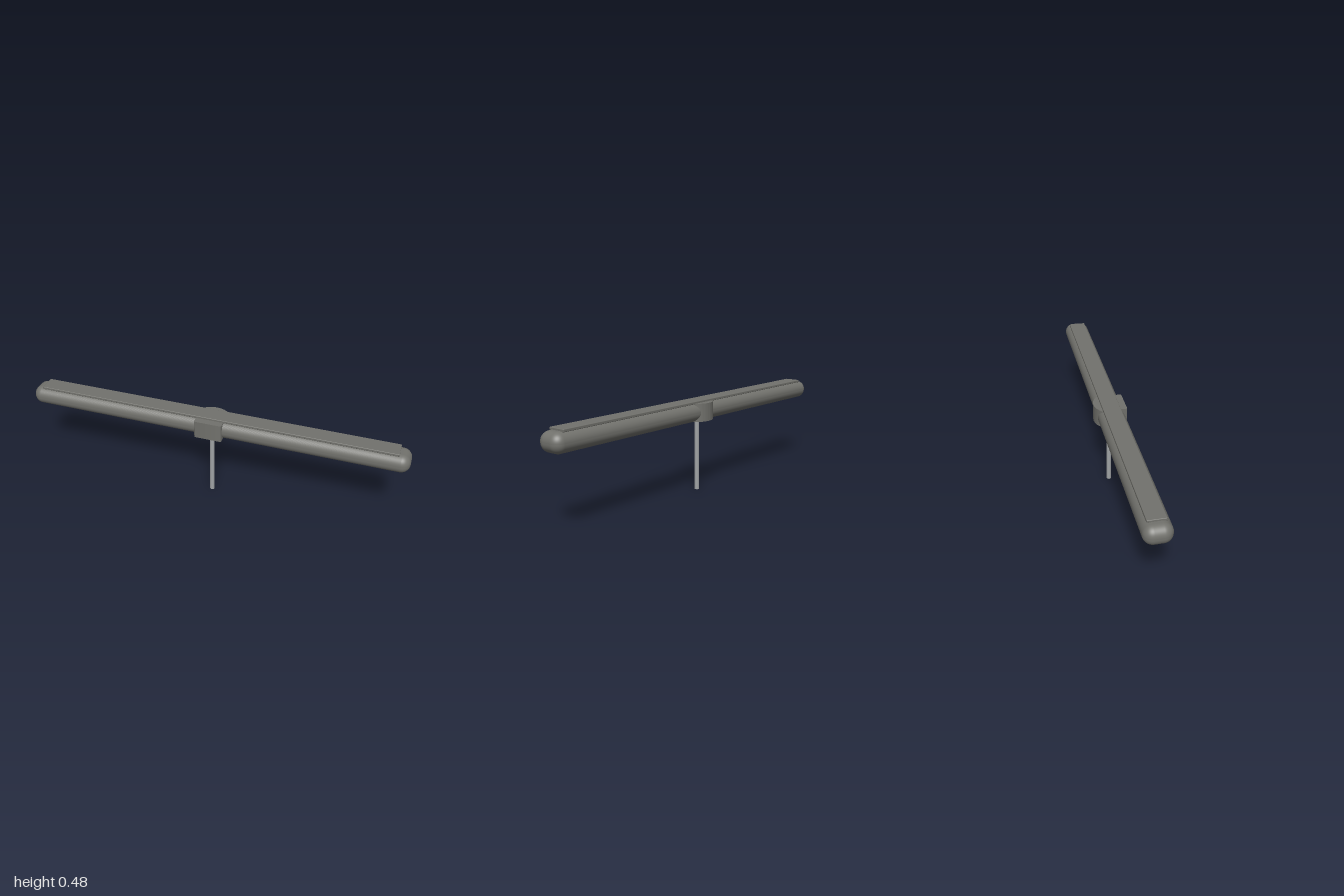
import * as THREE from 'three';
import { toCreasedNormals } from 'three/addons/utils/BufferGeometryUtils.js';
import { RoundedBoxGeometry } from 'three/addons/geometries/RoundedBoxGeometry.js';

export function createModel() {
  const model = new THREE.Group();
  const casing = new THREE.MeshStandardMaterial({ color: 0x72726d });
  casing.name = 'casing grey';
  const steel = new THREE.MeshStandardMaterial({ color: 0xa0a3a5 });
  steel.name = 'steel';

  const add = (name, geometry, material, y) => {
    const mesh = new THREE.Mesh(geometry, material);
    mesh.name = name;
    mesh.position.y = y;
    model.add(mesh);
    return mesh;
  };

  // long rounded bar
  add('bar', new RoundedBoxGeometry(2, 0.097, 0.134, 8, 0.046), casing, 0.4255);

  // thin raised panel along the top
  add('topPanel', new RoundedBoxGeometry(1.885, 0.014, 0.089, 2, 0.003), casing, 0.477);

  // centre collar: square at the front, bowed at the back
  const w = 0.072, front = -0.08, back = 0.05, r = 0.008;
  const bow = 0.03, radius = (w * w + bow * bow) / (2 * bow);
  const angle = Math.asin(w / radius);
  const outline = new THREE.Shape();
  outline.moveTo(-w + r, front);
  outline.lineTo(w - r, front);
  outline.quadraticCurveTo(w, front, w, front + r);
  outline.lineTo(w, back);
  outline.absarc(0, back + bow - radius, radius, Math.PI / 2 - angle, Math.PI / 2 + angle, false);
  outline.lineTo(-w, front + r);
  outline.quadraticCurveTo(-w, front, -w + r, front);
  const collar = new THREE.ExtrudeGeometry(outline, { depth: 0.094, bevelEnabled: false, curveSegments: 20 });
  collar.rotateX(-Math.PI / 2);
  add('collar', toCreasedNormals(collar, 0.6), casing, 0.379);

  // slim post
  add('post', new THREE.CylinderGeometry(0.0125, 0.0125, 0.39, 20), steel, 0.195);

  return model;
}
